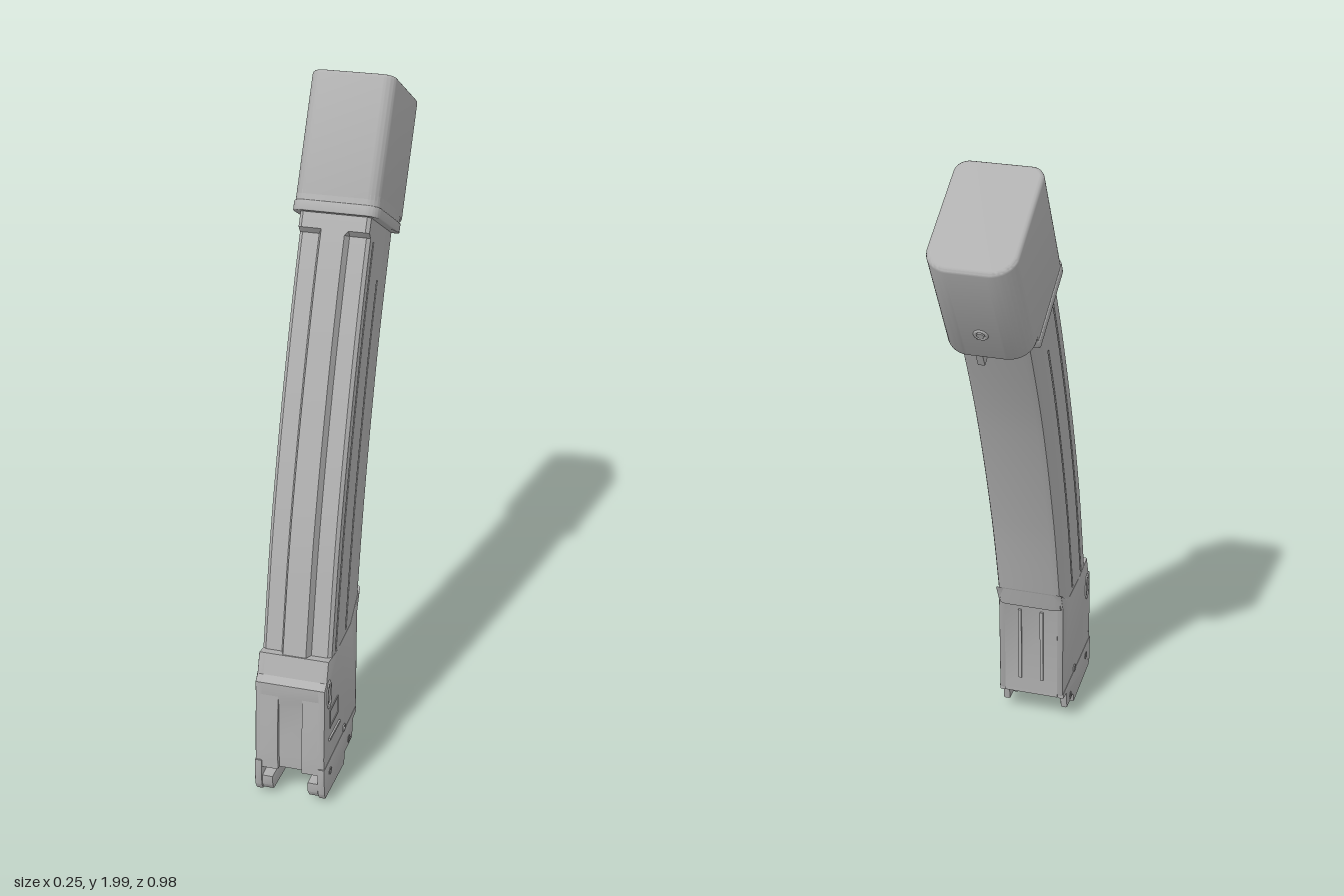
import * as THREE from 'three';
import { toCreasedNormals } from 'three/addons/utils/BufferGeometryUtils.js';

const steel = new THREE.MeshStandardMaterial({ color: 0xb0b0b0 });
steel.name = 'grey steel';

function add(parent, geometry, name, x = 0, y = 0, z = 0) {
  const mesh = new THREE.Mesh(geometry, steel);
  mesh.name = name;
  mesh.position.set(x, y, z);
  parent.add(mesh);
  return mesh;
}

// Plate with a (z, y) outline, reaching from x0 to x1
function slab(outline, x0, x1, bevel = 0) {
  const shape = new THREE.Shape(outline.map(([z, y]) => new THREE.Vector2(z, y)));
  const g = new THREE.ExtrudeGeometry(shape, {
    depth: x1 - x0 - 2 * bevel, bevelEnabled: bevel > 0, bevelThickness: bevel,
    bevelSize: bevel, bevelOffset: -bevel, bevelSegments: 2,
  });
  g.rotateY(-Math.PI / 2);
  g.translate(x1 - bevel, 0, 0);
  return toCreasedNormals(g, 0.6);
}

// Curved tube lofted between a front and a back curve, with ribs and grooves pressed in
function curvedBody() {
  const curve = (pts) => new THREE.CatmullRomCurve3(pts.map(([z, y]) => new THREE.Vector3(0, y, z)));
  const front = curve([[0.44, 0.42], [0.345, 0.8], [0.205, 1.2], [0.055, 1.55], [-0.02, 1.69]]);
  const back = curve([[0.118, 0.45], [0.03, 0.8], [-0.105, 1.2], [-0.235, 1.49], [-0.27, 1.56]]);
  const w = 0.102;
  const section = (t) => {
    const r = t < 0.925 ? 0.075 : 0;
    const g1 = t > 0.02 && t < 0.91 ? 0.009 : 0;
    const g2 = t > 0.02 && t < 0.83 ? 0.009 : 0;
    const half = [
      [0.034, 0], [0.044, r], [0.092, r], [w, r + 0.03],
      [w, 0.22], [w - g1, 0.227], [w - g1, 0.243], [w, 0.25],
      [w, 0.55], [w - g2, 0.557], [w - g2, 0.573], [w, 0.58],
      [w, 0.93], [0.096, 0.975], [0.08, 1],
    ];
    return [...half, ...half.map(([x, u]) => [-x, u]).reverse()];
  };
  const ts = [];
  for (let i = 0; i <= 48; i++) ts.push(i / 48);
  ts.push(0.019, 0.021, 0.829, 0.831, 0.909, 0.911, 0.915, 0.926);
  ts.sort((a, b) => a - b);
  const pos = [], index = [];
  const n = section(0).length;
  ts.forEach((t, row) => {
    const f = front.getPointAt(t), b = back.getPointAt(t);
    for (const [x, u] of section(t)) {
      const p = f.clone().lerp(b, u);
      pos.push(x, p.y, p.z);
    }
    if (row === 0) return;
    for (let j = 0; j < n; j++) {
      const k = (j + 1) % n, lo = (row - 1) * n, hi = row * n;
      index.push(lo + j, lo + k, hi + k, lo + j, hi + k, hi + j);
    }
  });
  const g = new THREE.BufferGeometry();
  g.setAttribute('position', new THREE.Float32BufferAttribute(pos, 3));
  g.setIndex(index);
  return toCreasedNormals(g, 0.45);
}

// Rounded block for the end cap: front corners r0, back corners r1, from y0 to y1
function capBlock(halfW, b0, b1, r0, r1, y0, y1, bevel) {
  const s = new THREE.Shape();
  const q = Math.PI / 2;
  s.absarc(halfW - r0, b0 + r0, r0, -q, 0);
  s.absarc(halfW - r1, b1 - r1, r1, 0, q);
  s.absarc(-halfW + r1, b1 - r1, r1, q, 2 * q);
  s.absarc(-halfW + r0, b0 + r0, r0, 2 * q, 3 * q);
  const g = new THREE.ExtrudeGeometry(s, {
    depth: y1 - y0 - 2 * bevel, bevelEnabled: bevel > 0, bevelThickness: bevel,
    bevelSize: bevel, bevelOffset: -bevel, bevelSegments: 3, curveSegments: 8,
  });
  g.translate(0, 0, y0 + bevel);
  g.rotateX(-Math.PI / 2);
  return toCreasedNormals(g, 0.6);
}

export function createModel() {
  const model = new THREE.Group();
  model.name = 'curvedMagazine';
  add(model, curvedBody(), 'curvedBody');

  // Slanted end cap, notched at the lower back
  const cap = new THREE.Group();
  cap.name = 'endCap';
  cap.position.set(0, 1.65, 0.025);
  cap.rotation.x = -0.5007;
  model.add(cap);
  add(cap, capBlock(0.122, 0, 0.37, 0.04, 0.07, 0.035, 0.397, 0.012), 'capShell');
  add(cap, capBlock(0.122, 0, 0.29, 0.04, 0.004, 0, 0.06, 0), 'capSkirt');
  add(cap, capBlock(0.125, -0.003, 0.29, 0.04, 0.004, 0.0, 0.03, 0.003), 'capRim');
  const button = add(cap, new THREE.TorusGeometry(0.016, 0.005, 8, 20), 'capButtonRing', 0, 0.14, -0.37);
  button.scale.z = 0.8;
  const knob = add(cap, new THREE.CylinderGeometry(0.01, 0.01, 0.008, 16), 'capButton', 0, 0.14, -0.371);
  knob.rotation.x = Math.PI / 2;
  add(cap, new THREE.BoxGeometry(0.02, 0.08, 0.025), 'capLatchPeg', 0.03, 0.01, -0.335);

  // Lower housing: two side walls with a recessed centre and an open underside
  const housing = new THREE.Group();
  housing.name = 'housing';
  model.add(housing);
  const upper = [[0.475, 0.345], [0.475, 0.385], [0.455, 0.40], [0.435, 0.46], [0.34, 0.445], [0.20, 0.45], [0.10, 0.52]];
  const wall = [[0.131, 0.45], [0.14, 0.125], [0.15, 0.105], [0.485, 0.105], [0.487, 0.16], ...upper];
  const skirt = [[0.49, 0.125], [0.49, 0.04], [0.477, 0.018], [0.28, 0.003], [0.27, 0.04], [0.19, 0.04],
    [0.18, 0.1], [0.145, 0.105], [0.145, 0.125]];
  const lip = [[0.485, 0.07], [0.485, 0.04], [0.472, 0.02], [0.285, 0.005], [0.275, 0.07]];
  const centre = [[0.131, 0.45], [0.14, 0.11], [0.165, 0.11], [0.165, 0.22], [0.445, 0.22], [0.445, 0.1],
    [0.47, 0.1], [0.472, 0.15], [0.465, 0.30], ...upper];
  const cheek = [[0.44, 0.1], [0.485, 0.1], [0.487, 0.16], [0.475, 0.345], [0.44, 0.345]];
  add(housing, slab(centre, -0.085, 0.085), 'housingCore');
  for (const s of [-1, 1]) {
    const side = s > 0 ? 'left' : 'right';
    const pair = (a, b) => (s > 0 ? [a, b] : [-b, -a]);
    add(housing, slab(wall, ...pair(0.078, 0.104), 0.005), side + 'Wall');
    add(housing, slab(skirt, ...pair(0.084, 0.106), 0.004), side + 'Skirt');
    add(housing, slab(lip, ...pair(0.052, 0.1), 0.004), side + 'FeedLip');
    add(housing, slab(cheek, ...pair(0.036, 0.09)), side + 'FrontCheek');

    // Pins, ridge loop and back ribs
    for (const [z, y] of [[0.43, 0.085], [0.28, 0.135], [0.23, 0.062]]) {
      const pin = add(housing, new THREE.TorusGeometry(0.01, 0.003, 6, 16), side + 'PinRing', s * 0.105, y, z);
      pin.rotation.y = Math.PI / 2;
    }
    const loop = add(housing, new THREE.TorusGeometry(0.018, 0.004, 6, 24), side + 'RidgeLoop', s * 0.104, 0.353, 0.435);
    loop.rotation.y = Math.PI / 2;
    loop.scale.y = 2.2;
    const rib = add(housing, new THREE.BoxGeometry(0.01, 0.26, 0.01), side + 'BackRib', s * 0.035, 0.30, 0.134);
    rib.rotation.x = -0.028;
  }

  // Square outline and small bar on the left wall
  for (const d of [-1, 1]) {
    add(housing, new THREE.BoxGeometry(0.003, 0.004, 0.085), 'squareEdge', 0.105, 0.263 + d * 0.028, 0.388);
    add(housing, new THREE.BoxGeometry(0.003, 0.056, 0.004), 'squareEdge', 0.105, 0.263, 0.388 + d * 0.041);
  }
  const bar = add(housing, new THREE.BoxGeometry(0.008, 0.008, 0.11), 'catchBar', 0.105, 0.197, 0.385);
  bar.rotation.x = -0.06;
  return model;
}
